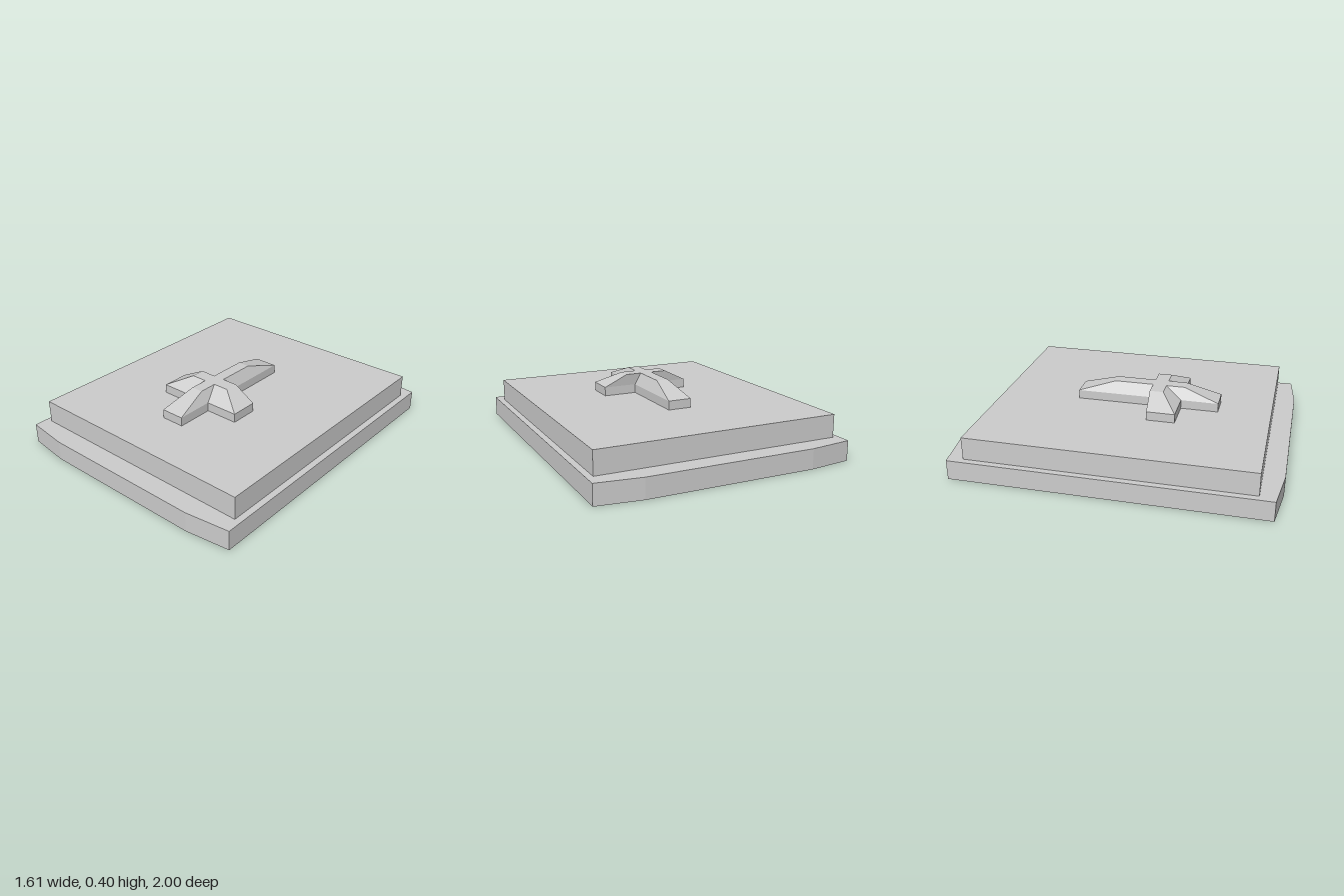
import * as THREE from 'three';

const material = new THREE.MeshStandardMaterial({ color: 0xcccccc, flatShading: true });

// Mirrors the right half of an outline ([x, z], front to back) into a closed loop.
const mirrorOutline = half => [...half, ...half.map(([x, z]) => [-x, z]).reverse()];

// Solid through stacked outlines with matching corners, closed at both ends.
function loft(layers) {
  const positions = [];
  const add = (...points) => points.forEach(p => positions.push(...p));
  const rings = layers.map(({ y, outline }) => outline.map(([x, z]) => [x, y, z]));

  for (let k = 0; k < rings.length - 1; k++) {
    const low = rings[k], high = rings[k + 1];
    low.forEach((a, i) => {
      const j = (i + 1) % low.length;
      add(a, low[j], high[j], a, high[j], high[i]);
    });
  }
  const cap = (ring, up) => {
    const flat = ring.map(([x, , z]) => new THREE.Vector2(x, -z));
    for (const [a, b, c] of THREE.ShapeUtils.triangulateShape(flat, [])) {
      if (up) add(ring[a], ring[b], ring[c]);
      else add(ring[a], ring[c], ring[b]);
    }
  };
  cap(rings[0], false);
  cap(rings[rings.length - 1], true);

  const geometry = new THREE.BufferGeometry();
  geometry.setAttribute('position', new THREE.Float32BufferAttribute(positions, 3));
  geometry.computeVertexNormals();
  return geometry;
}

export function createModel() {
  const group = new THREE.Group();
  group.name = 'graveSlab';
  const addPart = (name, layers) => {
    const mesh = new THREE.Mesh(loft(layers), material);
    mesh.name = name;
    group.add(mesh);
  };

  // Plinth with faceted, slightly bowed ends
  const plinth = mirrorOutline([[0.53, 1], [0.807, 0.965], [0.807, -0.965], [0.53, -1]]);
  addPart('plinth', [{ y: 0, outline: plinth }, { y: 0.125, outline: plinth }]);

  // Rectangular upper slab
  const slab = mirrorOutline([[0.767, 0.872], [0.767, -0.874]]);
  addPart('slab', [{ y: 0.125, outline: slab }, { y: 0.268, outline: slab }]);

  // Cross with upright sides and a bevelled top; the arms' back stays almost vertical
  const crossBase = mirrorOutline([
    [0.075, 0.543], [0.075, 0.307], [0.288, 0.307], [0.288, 0.13], [0.075, 0.13], [0.075, -0.363],
  ]);
  const crossTop = mirrorOutline([
    [0.038, 0.323], [0.038, 0.205], [0.14, 0.205], [0.14, 0.12], [0.038, 0.12], [0.038, -0.124],
  ]);
  addPart('cross', [
    { y: 0.268, outline: crossBase },
    { y: 0.324, outline: crossBase },
    { y: 0.398, outline: crossTop },
  ]);

  return group;
}
